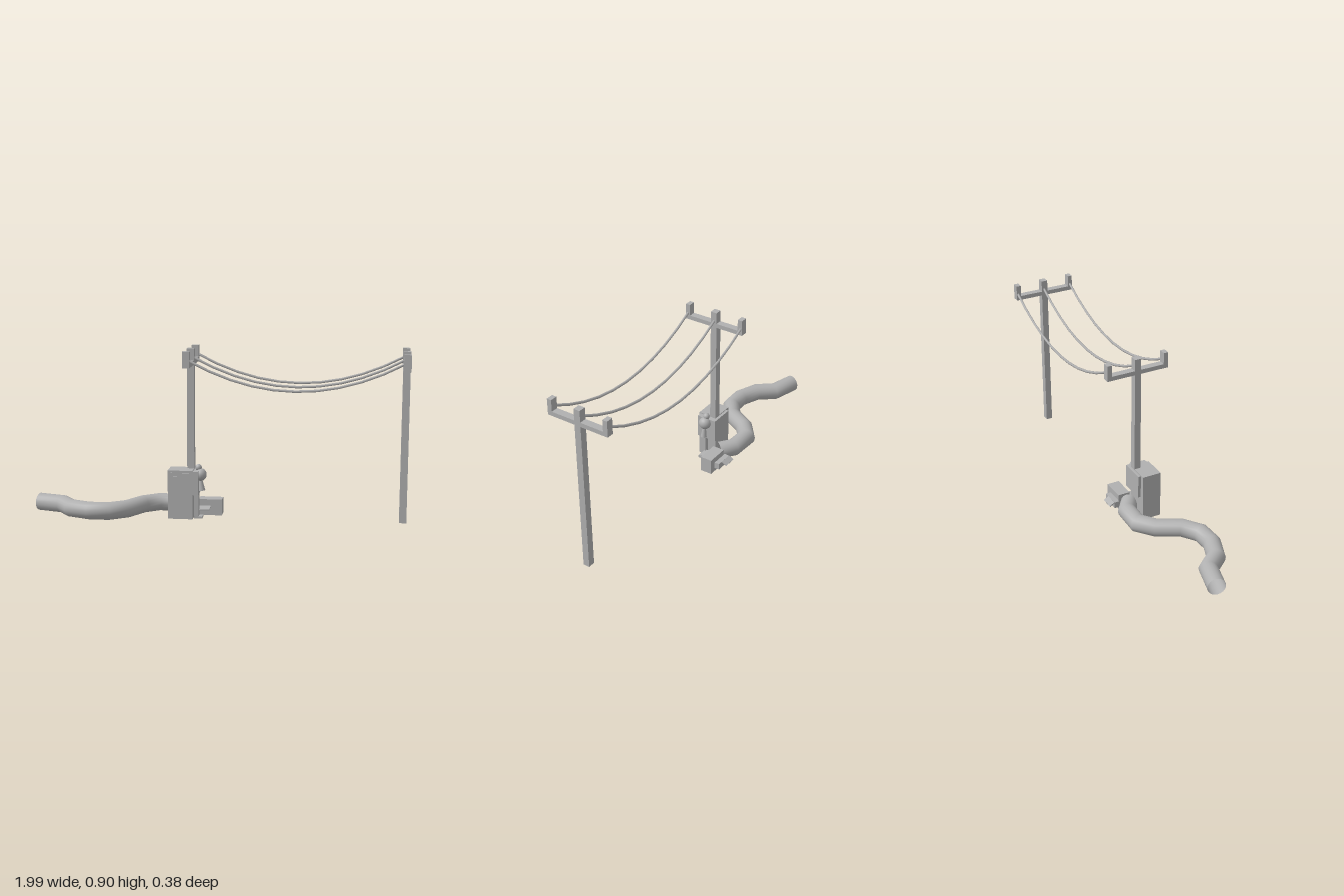
import * as THREE from 'three';

export function createModel() {
  const root = new THREE.Group();
  const grey = new THREE.MeshStandardMaterial({ color: 0xb0b0b0 });
  grey.name = 'plainGrey';
  grey.side = THREE.DoubleSide;

  const add = (name, geometry, x = 0, y = 0, z = 0) => {
    const mesh = new THREE.Mesh(geometry, grey);
    mesh.name = name;
    mesh.position.set(x, y, z);
    root.add(mesh);
    return mesh;
  };
  // Box given by its extents
  const box = (name, x0, x1, y0, y1, z0, z1) =>
    add(name, new THREE.BoxGeometry(x1 - x0, y1 - y0, z1 - z0), (x0 + x1) / 2, (y0 + y1) / 2, (z0 + z1) / 2);

  // Mitred sweep of a round section along a flat path; up is the normal of the path's plane
  const sweep = (points, radius, sides, up) => {
    const pos = [], index = [], last = points.length - 1;
    points.forEach((p, i) => {
      const a = points[Math.min(i + 1, last)].clone().sub(points[Math.min(i, last - 1)]).normalize();
      const b = points[Math.max(i, 1)].clone().sub(points[Math.max(i - 1, 0)]).normalize();
      const t = a.clone().add(b).normalize();
      const n = up.clone().cross(t).divideScalar(t.dot(a));
      for (let j = 0; j < sides; j++) {
        const angle = ((j + 0.5) / sides) * Math.PI * 2;
        const v = p.clone().addScaledVector(n, radius * Math.cos(angle)).addScaledVector(up, radius * Math.sin(angle));
        pos.push(v.x, v.y, v.z);
        if (i < last) {
          const k = (j + 1) % sides, r = i * sides, s = r + sides;
          index.push(r + j, r + k, s + j, r + k, s + k, s + j);
        }
      }
    });
    const g = new THREE.BufferGeometry();
    g.setAttribute('position', new THREE.Float32BufferAttribute(pos, 3));
    g.setIndex(index);
    g.computeVertexNormals();
    return g;
  };

  // Two utility poles with crossarms and end posts
  for (const x of [-0.147, 0.975]) {
    const a = x - 0.019, b = x + 0.019;
    box('pole', a, b, 0, 0.902, -0.035, 0);
    box('crossarm', a, b, 0.817, 0.84, -0.19, 0.155);
    box('crossarmPost', a, b, 0.817, 0.902, 0.13, 0.155);
    box('crossarmPost', a, b, 0.817, 0.902, -0.19, -0.164);
  }

  // Sagging wires
  for (const z of [0.143, -0.02, -0.181]) {
    const points = [];
    for (let i = 0; i <= 10; i++) {
      const u = i / 5 - 1;
      points.push(new THREE.Vector3(0.414 + u * 0.555, 0.706 + 0.152 * u * u, z));
    }
    add('wire', sweep(points, 0.007, 6, new THREE.Vector3(0, 0, 1)));
  }

  // Winding open pipe on the ground
  const pipePath = [[-0.985, -0.027], [-0.845, 0.013], [-0.78, 0.096], [-0.67, 0.14], [-0.565, 0.137],
    [-0.48, 0.075], [-0.415, -0.043], [-0.335, -0.107], [-0.21, -0.102], [-0.14, -0.05]];
  add('pipe', sweep(pipePath.map(([x, z]) => new THREE.Vector3(x, 0.048, z)), 0.047, 20, new THREE.Vector3(0, 1, 0)));

  // Cabinet with door, window and side and back plates
  box('cabinet', -0.26, -0.128, 0, 0.262, -0.035, 0.069);
  box('cabinetDoor', -0.245, -0.138, 0.07, 0.25, 0.069, 0.074);
  box('doorWindow', -0.23, -0.16, 0.205, 0.233, 0.074, 0.077);
  box('sidePlate', -0.128, -0.1, 0.13, 0.257, -0.05, 0.062);
  box('backPlate', -0.235, -0.1, 0.13, 0.257, -0.05, -0.035);

  // Round fixture on the cabinet's side
  box('fixtureStand', -0.123, -0.1, 0, 0.13, 0.01, 0.04);
  box('fixtureFoot', -0.123, -0.08, 0, 0.01, 0, 0.045);
  const ball = add('fixtureBall', new THREE.SphereGeometry(0.034, 20, 12), -0.092, 0.232, 0.01);
  ball.scale.x = 0.95;
  add('fixtureCap', new THREE.SphereGeometry(0.018, 14, 10), -0.104, 0.27, 0.008);
  const horn = add('fixtureHorn', new THREE.CylinderGeometry(0.008, 0.017, 0.06, 14), -0.088, 0.177, 0.013);
  horn.rotation.z = 0.12;

  // Ground box with tilted trays on both sides
  box('groundBox', -0.11, 0.015, 0, 0.087, -0.102, -0.035);
  box('backStep', -0.12, -0.02, 0.02, 0.055, -0.13, -0.102);
  const backTray = box('backTray', -0.12, -0.05, 0.043, 0.049, -0.16, -0.128);
  backTray.rotation.x = -0.5;
  const frontTray = box('frontTray', -0.11, -0.045, 0.042, 0.048, -0.036, 0.02);
  frontTray.rotation.x = 0.15;

  return root;
}
